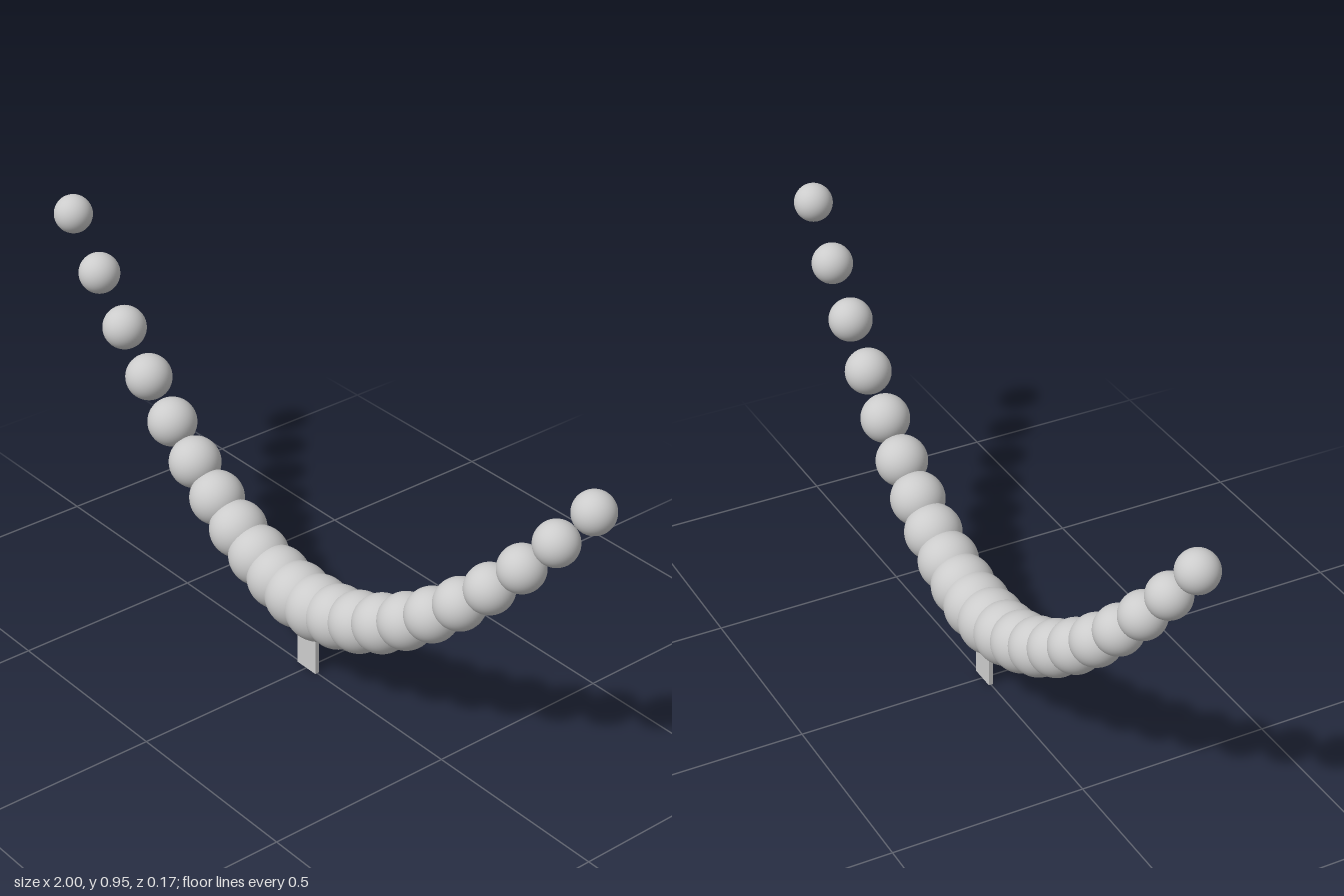
import * as THREE from 'three';

export function createModel() {
  const model = new THREE.Group();
  const material = new THREE.MeshStandardMaterial({ color: 0xcccccc });

  // Graduated beads along a hanging curve, mirrored about the middle
  const beads = new THREE.Group();
  beads.name = 'beads';
  const ball = new THREE.SphereGeometry(1, 48, 32);
  for (let i = 0; i <= 10; i++) {
    const radius = 0.084 - 0.0034 * i;
    const x = 0.039 + 0.0762 * i + 0.00165 * i * (i - 1);
    const y = 0.1965 + 0.00636 * i * (i + 1);
    for (const side of [1, -1]) {
      const bead = new THREE.Mesh(ball, material);
      bead.name = side > 0 ? 'leftBead' : 'rightBead';
      bead.scale.setScalar(radius);
      bead.position.set(side * x, y, 0);
      beads.add(bead);
    }
  }
  model.add(beads);

  // Thin flat tag below the middle beads
  const tag = new THREE.Mesh(new THREE.BoxGeometry(0.07, 0.11, 0.012), material);
  tag.name = 'tag';
  tag.position.y = 0.055;
  model.add(tag);

  return model;
}
